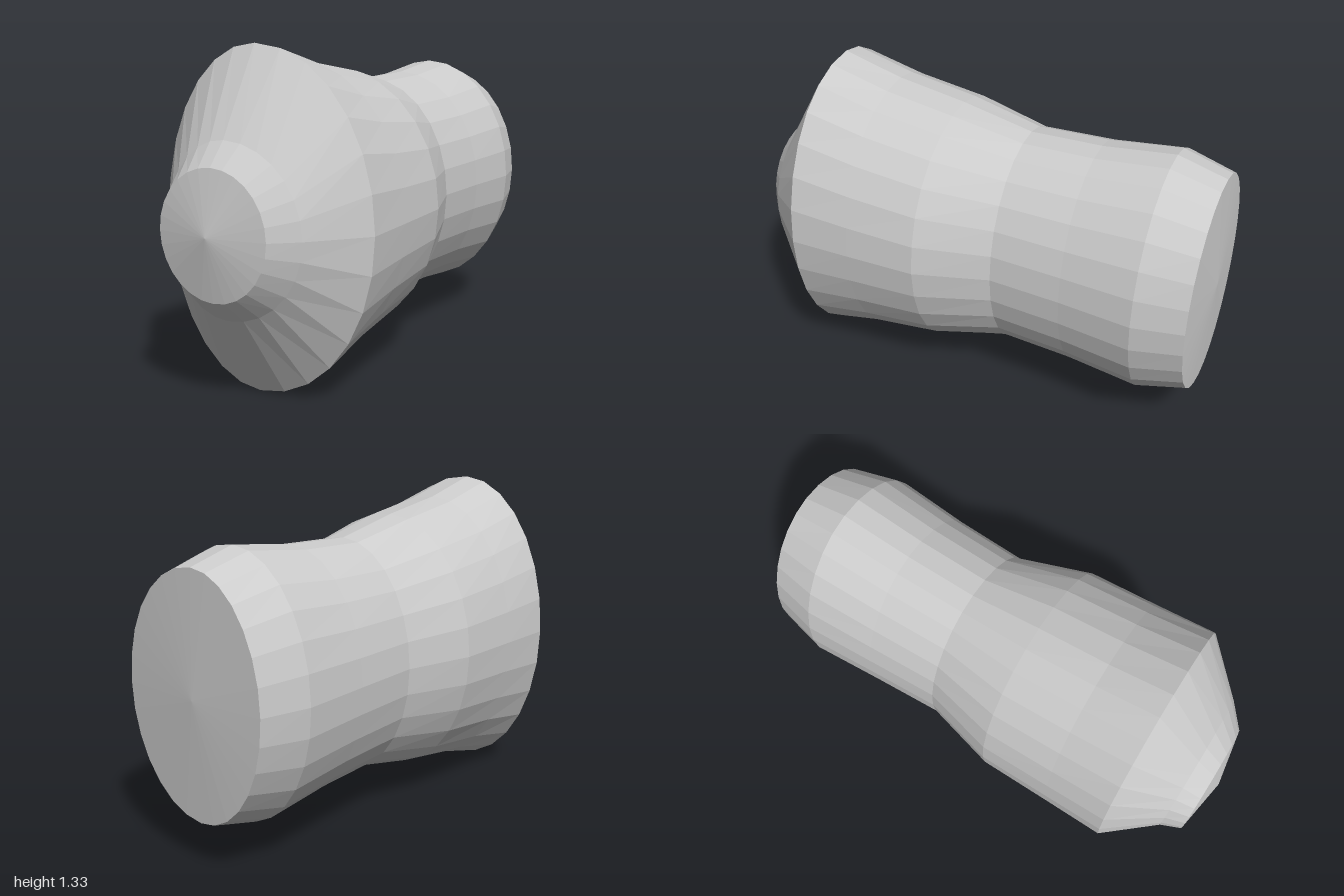
import * as THREE from 'three';

const SIDES = 28;
const CX = -0.042, CY = 0.668;

// Cross-sections front to back: z, bottom, top, x on the right side, x on the left side
const SECTIONS = [
  [0.96, 0.422, 0.912, -0.275, 0.19],
  [0.88, 0.337, 1.0, -0.305, 0.285],
  [0.68, 0.005, 1.333, -0.462, 0.46],
  [0.42, 0.075, 1.265, -0.462, 0.452],
  [0.12, 0.122, 1.218, -0.462, 0.44],
  [-0.18, 0.183, 1.155, -0.385, 0.337],
  [-0.48, 0.172, 1.165, -0.4, 0.348],
  [-0.78, 0.14, 1.202, -0.417, 0.37],
  [-0.98, 0.192, 1.147, -0.37, 0.322],
];

// Lofts the sections; each quadrant is a quarter ellipse about the shared axis
function loftGeometry() {
  const positions = [], index = [];
  for (const [z, bottom, top, xMin, xMax] of SECTIONS) {
    for (let i = 0; i < SIDES; i++) {
      const t = (i / SIDES) * Math.PI * 2;
      const s = Math.sin(t), c = Math.cos(t);
      positions.push(
        CX + s * (s > 0 ? xMax - CX : CX - xMin),
        CY + c * (c > 0 ? top - CY : CY - bottom),
        z
      );
    }
  }
  const last = (SECTIONS.length - 1) * SIDES;
  const frontTip = positions.length / 3, backTip = frontTip + 1;
  positions.push(CX, CY, 1, CX, CY, -1);

  for (let i = 0; i < SIDES; i++) {
    const j = (i + 1) % SIDES;
    for (let r = 0; r < last; r += SIDES) {
      index.push(r + i, r + j, r + SIDES + i, r + j, r + SIDES + j, r + SIDES + i);
    }
    // Shallow cones closing both ends
    index.push(frontTip, j, i, backTip, last + i, last + j);
  }

  const geometry = new THREE.BufferGeometry();
  geometry.setAttribute('position', new THREE.Float32BufferAttribute(positions, 3));
  geometry.setIndex(index);
  const flat = geometry.toNonIndexed();
  flat.computeVertexNormals();
  return flat;
}

export function createModel() {
  const group = new THREE.Group();
  group.name = 'loftedBody';
  const body = new THREE.Mesh(
    loftGeometry(),
    new THREE.MeshStandardMaterial({ color: 0xcccccc, flatShading: true })
  );
  body.name = 'body';
  group.add(body);
  return group;
}
